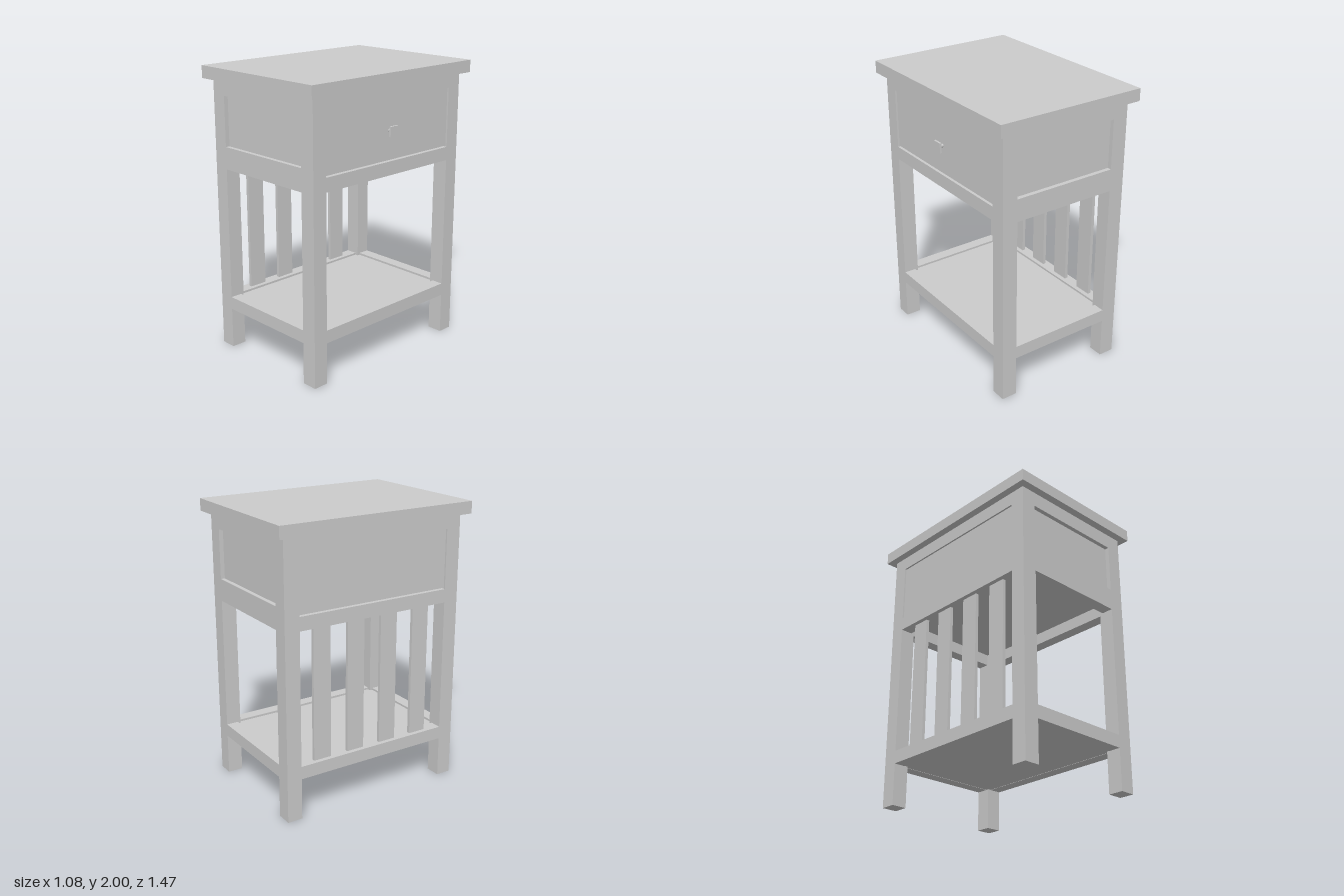
import * as THREE from 'three';

const material = new THREE.MeshStandardMaterial({ color: 0xcccccc });

export function createModel() {
  const table = new THREE.Group();
  table.name = 'sideTable';

  // Box given by its lower and upper limits on each axis
  const box = (name, [x0, x1], [y0, y1], [z0, z1]) => {
    const mesh = new THREE.Mesh(new THREE.BoxGeometry(x1 - x0, y1 - y0, z1 - z0), material);
    mesh.name = name;
    mesh.position.set((x0 + x1) / 2, (y0 + y1) / 2, (z0 + z1) / 2);
    table.add(mesh);
    return mesh;
  };
  // Range from a to b, mirrored when side is -1
  const span = (side, a, b) => (side > 0 ? [a, b] : [-b, -a]);

  const X = 0.487, Z = 0.682;      // outer faces of the frame
  const LX = 0.377, LZ = 0.575;    // inner faces of the legs
  const T = 0.085;                 // rail thickness
  const top = 1.915;

  box('tabletop', [-0.538, 0.538], [top, 2], [-0.735, 0.735]);

  for (const sx of [1, -1])
    for (const sz of [1, -1])
      box('leg', span(sx, LX, X), [0, top], span(sz, LZ, Z));

  for (const s of [1, -1]) {
    // Short ends: rails flush with the legs, panel set back
    const endRail = span(s, Z - T, Z);
    box('endLowerRail', [-LX, LX], [0.29, 0.38], endRail);
    box('endMiddleRail', [-LX, LX], [1.31, 1.465], endRail);
    box('endTopRail', [-LX, LX], [1.81, top], endRail);
    box('endPanel', [-LX, LX], [1.465, 1.81], span(s, Z - 0.06, Z - 0.03));

    // Long sides
    const sideRail = span(s, X - T, X);
    box('sideLowerRail', sideRail, [0.29, 0.38], [-LZ, LZ]);
    box('sideMiddleRail', sideRail, [1.31, 1.405], [-LZ, LZ]);
    box('sideTopRail', sideRail, [1.82, top], [-LZ, LZ]);
    box(s > 0 ? 'drawerFront' : 'sidePanel', span(s, X - 0.05, X - 0.012), [1.412, 1.82], [-LZ, LZ]);
  }

  // Floor of the drawer case and the low shelf
  box('caseFloor', [-X + T, X - T], [1.395, 1.412], [-Z + T, Z - T]);
  box('shelf', [-X + T, X - T], [0.292, 0.365], [-Z + T, Z - T]);

  // Upright slats on one long side
  for (const z of [-0.393, -0.131, 0.131, 0.393])
    box('slat', [-0.456, -0.433], [0.38, 1.31], [z - 0.065, z + 0.065]);

  // Drawer knob: round stem with a square plate
  const stem = new THREE.Mesh(new THREE.CylinderGeometry(0.012, 0.012, 0.036, 16), material);
  stem.name = 'knobStem';
  stem.rotation.z = Math.PI / 2;
  stem.position.set(0.49, 1.61, 0);
  table.add(stem);
  box('knobPlate', [0.505, 0.519], [1.576, 1.645], [-0.035, 0.035]);

  return table;
}
